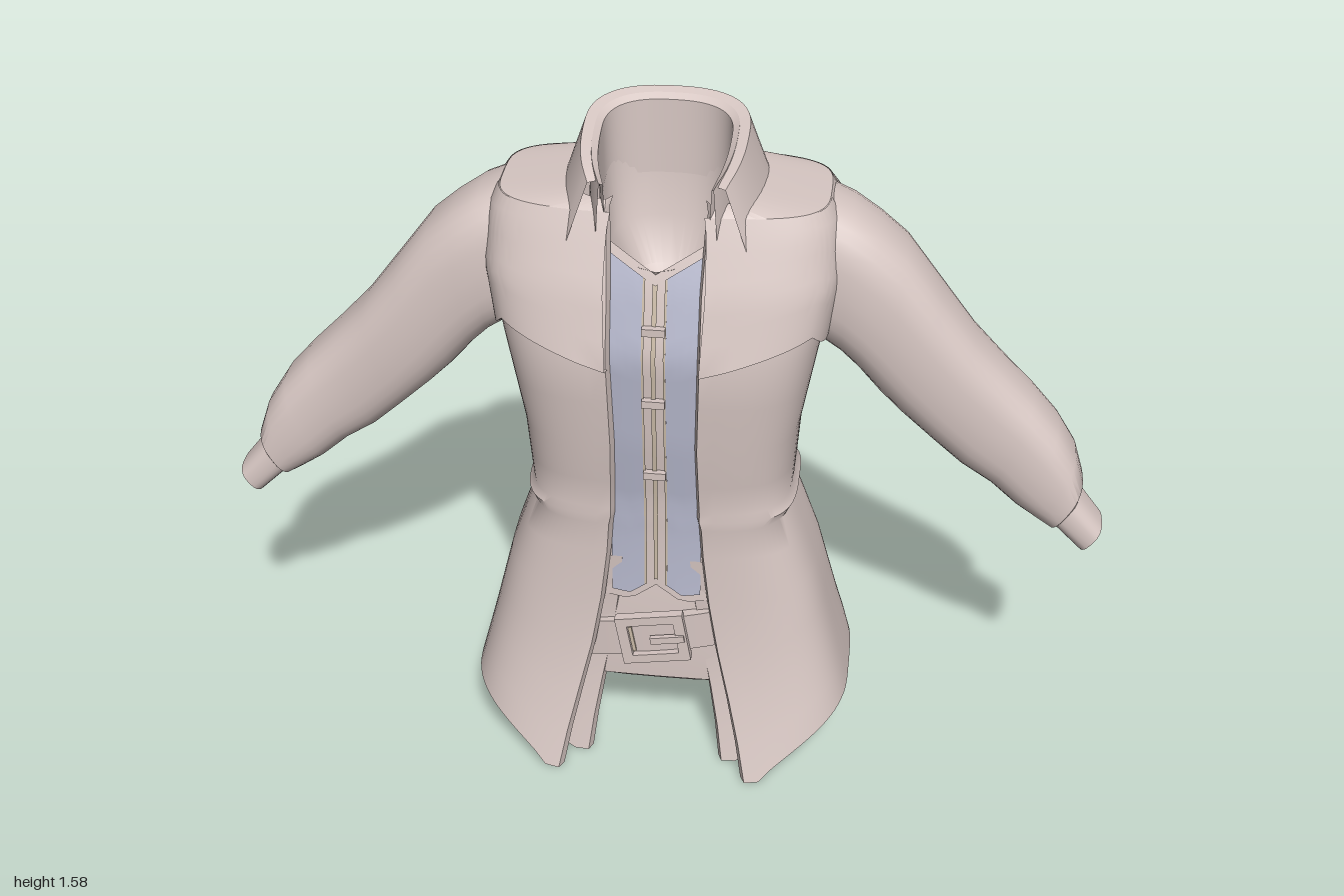
import * as THREE from 'three';
import { toCreasedNormals } from 'three/addons/utils/BufferGeometryUtils.js';

const mat = (name, color) => {
  const m = new THREE.MeshStandardMaterial({ color, side: THREE.DoubleSide });
  m.name = name;
  return m;
};
const lerp = THREE.MathUtils.lerp, clamp = THREE.MathUtils.clamp;

// coat profile: [y, half width, front z, back z, half opening]
const ROWS = [
  [1.455, .19, .15, -.15, .11], [1.437, .352, .165, -.155, .11], [1.4, .372, .18, -.18, .105],
  [1.28, .38, .225, -.195, .1], [1.13, .35, .262, -.205, .1], [.9, .31, .245, -.19, .095],
  [.72, .298, .222, -.16, .1], [.7, .31, .225, -.163, .1], [.675, .298, .222, -.157, .105],
  [.6, .325, .222, -.17, .11], [.5, .36, .225, -.19, .12], [.3, .41, .24, -.25, .155],
  [.15, .45, .275, -.303, .195], [0, .46, .322, -.335, .225],
];
function prof(y) {
  let i = 0;
  while (i < ROWS.length - 2 && y < ROWS[i + 1][0]) i++;
  const A = ROWS[i], B = ROWS[i + 1], k = clamp((A[0] - y) / (A[0] - B[0]), 0, 1);
  return A.map((v, n) => lerp(v, B[n], k));
}

// rounded-box cross-section; angle 0 is the front, PI the back
const BOXY = 0.54, ROUND = 0.8;
const spow = (v, e) => Math.sign(v) * Math.abs(v) ** e;
const sec = (w, f, b, a, e = BOXY) => {
  const c = spow(Math.cos(a), e);
  return [w * spow(Math.sin(a), e), c > 0 ? f * c : -b * c];
};
const startAngle = (o, w, e = BOXY) => Math.asin((o / w) ** (1 / e));

// surface from a rule giving the point at column i, row j
function grid(nu, nv, fn, crease = 0.7) {
  const p = [], idx = [];
  for (let j = 0; j <= nv; j++) for (let i = 0; i <= nu; i++) p.push(...fn(i, j));
  for (let j = 0; j < nv; j++) for (let i = 0; i < nu; i++) {
    const a = j * (nu + 1) + i, b = a + nu + 1;
    idx.push(a, b, a + 1, b, b + 1, a + 1);
  }
  const g = new THREE.BufferGeometry();
  g.setAttribute('position', new THREE.Float32BufferAttribute(p, 3));
  g.setIndex(idx);
  return toCreasedNormals(g, crease);
}

// hem height around the coat, low at the front corners and notched at the back
function hem(a) {
  const [x] = sec(.45, 1, 1, a), c = Math.cos(a);
  if (c > 0) return .008 + .142 * clamp((Math.abs(x) - .25) / .19, 0, 1) ** .8;
  return Math.abs(a - Math.PI) < .01 ? .14 : .15 - .042 * Math.abs(spow(c, BOXY)) ** 2;
}

// open coat shell with a turned-in front edge and hem
function coatShell(ys, inset, openInset) {
  const N = 88, last = ys.length;
  return grid(N + 2, last, (i, j) => {
    const y0 = ys[Math.min(j, last - 1)];
    const drop = (h) => (y0 < .6 ? h + (y0 - .15) * (.6 - h) / .45 : y0);
    const P = prof(drop(.01)), s = clamp(i - 1, 0, N) / N * 2 - 1;
    const a0 = startAngle(P[4] - openInset, P[1]);
    const a = Math.PI + (Math.PI - a0) * spow(s, 1.25), y = drop(hem(a));
    const Q = prof(y);
    const off = -inset(y0) - (i === 0 || i === N + 2 || j === last ? .022 : 0);
    const [x, z] = sec(Q[1] + off, Q[2] + off, Q[3] - off, a);
    return [x, y, z];
  });
}

// yoke panel lying over the coat between two angles
function yoke(a0, a1, offLow, low) {
  const nv = 10;
  return grid(32, nv + 1, (i, j) => {
    const a = lerp(a0, a1, i / 32), k = Math.min(j, nv) / nv;
    const y = lerp(1.437, low(a), k), P = prof(y);
    const off = j > nv ? 0 : lerp(.002, offLow, k);
    const [x, z] = sec(P[1] + off, P[2] + off, P[3] - off, a);
    return [x, y, z];
  });
}

// patch that follows the chest
const chestZ = (x, y, off) => prof(y)[2] + off - .6 * x * x;
const patch = (x0, x1, low, top, off) => grid(12, 24, (i, j) => {
  const x = lerp(x0, x1, i / 12), y = lerp(top(x), low(x), j / 24);
  return [x, y, chestZ(x, y, off)];
});

// rings: [half width, front z, back z, half opening, front y, back y]
const rings = (rows, n, e = ROUND) => grid(n, rows.length - 1, (i, j) => {
  const [w, f, b, o, yf, yb] = rows[j];
  const a0 = o ? startAngle(o, w, e) : 0;
  const [x, z] = sec(w, f, b, lerp(a0, 2 * Math.PI - a0, i / n), e);
  const z0 = sec(w, f, b, a0, e)[1];
  return [x, lerp(yf, yb, clamp((z0 - z) / (z0 - b), 0, 1) ** .65), z];
}, .5);

// sleeve stations: [upper x, upper y, lower x, lower y, front z, back z]
const SLEEVE = [
  [.35, 1.432, .34, 1.1, .12, -.13], [.4, 1.412, .39, 1.07, .13, -.128], [.46, 1.37, .43, 1.03, .128, -.128],
  [.52, 1.32, .48, .97, .125, -.125], [.6, 1.215, .53, .92, .122, -.118], [.68, 1.11, .6, .855, .115, -.11],
  [.75, 1.035, .67, .79, .106, -.105], [.82, .965, .74, .745, .105, -.1], [.88, .9, .8, .695, .11, -.09],
  [.925, .83, .85, .665, .113, -.08], [.947, .765, .88, .65, .112, -.06], [.94, .735, .9, .665, .1, -.02],
];
const CUFF = [
  [.935, .745, .88, .67, .108, -.025], [1, .665, .952, .603, .11, -.012],
  [.993, .66, .957, .612, .1, -.002], [.94, .725, .9, .68, .1, -.002],
];
const tube = (st, s) => grid(28, st.length - 1, (i, j) => {
  const [ux, uy, lx, ly, zf, zb] = st[j], a = (i / 28) * Math.PI * 2;
  const c = (spow(Math.cos(a), .72) + 1) / 2, d = (spow(Math.sin(a), .72) + 1) / 2;
  return [s * lerp(lx, ux, c), lerp(ly, uy, c), lerp(zb, zf, d)];
});

export function createModel() {
  const group = new THREE.Group();
  const cloth = mat('rose grey cloth', 0xd6c6c2);
  const blue = mat('blue grey waistcoat', 0xb6b8cc);
  const trim = mat('beige trim', 0xcbbca8);
  const add = (name, geo, m = cloth) => {
    const mesh = new THREE.Mesh(geo, m);
    mesh.name = name;
    group.add(mesh);
    return mesh;
  };

  // coat body and the shorter inner tails
  const coatYs = [1.455, 1.437, 1.4, 1.34, 1.28, 1.2, 1.13, 1.02, .9, .8, .72, .7, .675, .6, .5, .4, .3, .22, .15];
  add('coatBody', coatShell(coatYs, () => 0, 0));
  add('innerTails', coatShell([.58, .5, .4, .3, .22, .15], (y) => lerp(.075, .02, (y - .15) / .43), .03));

  // shoulder yokes
  add('backYoke', yoke(1.72, 2 * Math.PI - 1.72, .03, (a) => 1.1 - .02 * Math.abs(Math.cos(a))));
  const frontLow = (a) => {
    const x = Math.abs(sec(.36, 1, 1, a)[0]);
    return x < .32 ? 1.11 + .34 * (x - .1) : 1.185 - 1.2 * (x - .32);
  };
  const fa = startAngle(.1, .36);
  add('leftFrontYoke', yoke(fa, 1.5, .013, frontLow));
  add('rightFrontYoke', yoke(-fa, -1.5, .013, frontLow));

  // sleeves and cuffs
  for (const [side, s] of [['left', 1], ['right', -1]]) {
    add(side + 'Sleeve', tube(SLEEVE, s));
    add(side + 'Cuff', tube(CUFF, s));
  }

  // turned-down collar with pointed tips, its stand, and the neck lining
  add('collar', rings([
    [.205, .27, -.165, .18, 1.375, 1.45], [.228, .3, -.19, .195, 1.355, 1.445],
    [.175, .26, -.145, .142, 1.51, 1.587], [.152, .25, -.125, .125, 1.51, 1.58],
  ], 48));
  add('collarStand', rings([
    [.16, .26, -.135, .128, 1.37, 1.43], [.152, .25, -.125, .118, 1.51, 1.58],
    [.138, .24, -.11, .112, 1.5, 1.57], [.135, .24, -.105, .108, 1.37, 1.4],
  ], 48));
  add('neckLining', rings([
    [.135, .19, -.11, 0, 1.315, 1.46], [.12, .15, -.1, 0, 1.24, 1.3], [.07, .08, -.06, 0, 1.17, 1.2],
    [.001, .001, -.001, 0, 1.15, 1.15],
  ], 36));

  // waistcoat with pointed hem
  const vTop = (x) => 1.31 + .6 * Math.abs(x);
  const vLow = (x) => (Math.abs(x) < .06 ? .5 - .75 * Math.abs(x) : .455 + .1 * (Math.abs(x) - .06));
  const inLow = (x) => vLow(x) + .02, inTop = (x) => vTop(x) - .02;
  add('waistcoat', patch(-.15, .15, vLow, vTop, -.022));
  for (const s of [-1, 1]) {
    add('waistcoatPanel', patch(s * .026, s * .102, inLow, inTop, -.018), blue);
    add('waistcoatPiping', patch(s * .021, s * .026, inLow, inTop, -.0175), trim);
  }
  add('placket', patch(-.005, .005, inLow, inTop, -.018), trim);
  for (const y of [1.195, 1.02, .82]) {
    add('button', new THREE.BoxGeometry(.05, .018, .016)).position.set(0, y, chestZ(0, y, -.014));
  }

  // trousers seat with a flat underside
  add('trousers', rings([
    [.28, .185, -.13, 0, .5, .5], [.3, .2, -.16, 0, .36, .36], [.31, .2, -.175, 0, .222, .222],
    [.22, .125, -.13, 0, .155, .155], [.001, .001, -.001, 0, .142, .142],
  ], 40, BOXY));

  // slanted belt and buckle
  const beltEdge = [[-.05, -.015], [-.05, .013], [.05, .013], [.05, -.015]];
  add('belt', grid(16, 3, (i, j) => {
    const x = lerp(-.2, .2, i / 16), [dy, dz] = beltEdge[j];
    return [x, .36 + .2 * x + dy, .205 + dz - .55 * x * x];
  }));
  const rect = (P, w, h) => new P([[-w, -h], [w, -h], [w, h], [-w, h]].map(([x, y]) => new THREE.Vector2(x, y)));
  const frame = rect(THREE.Shape, .08, .066);
  frame.holes.push(rect(THREE.Path, .055, .043));
  const buckle = new THREE.Group();
  buckle.name = 'buckle';
  const part = (name, geo, m, x, z) => {
    const mesh = new THREE.Mesh(geo, m);
    mesh.name = name;
    mesh.position.set(x, 0, z);
    buckle.add(mesh);
  };
  part('buckleFrame', new THREE.ExtrudeGeometry(frame, { depth: .022, bevelEnabled: false }), cloth, 0, 0);
  part('buckleProng', new THREE.BoxGeometry(.08, .018, .012), cloth, .035, .022);
  part('buckleInlay', new THREE.BoxGeometry(.008, .07, .006), trim, -.05, .012);
  buckle.position.set(-.005, .358, .21);
  buckle.rotation.z = .17;
  group.add(buckle);

  return group;
}
